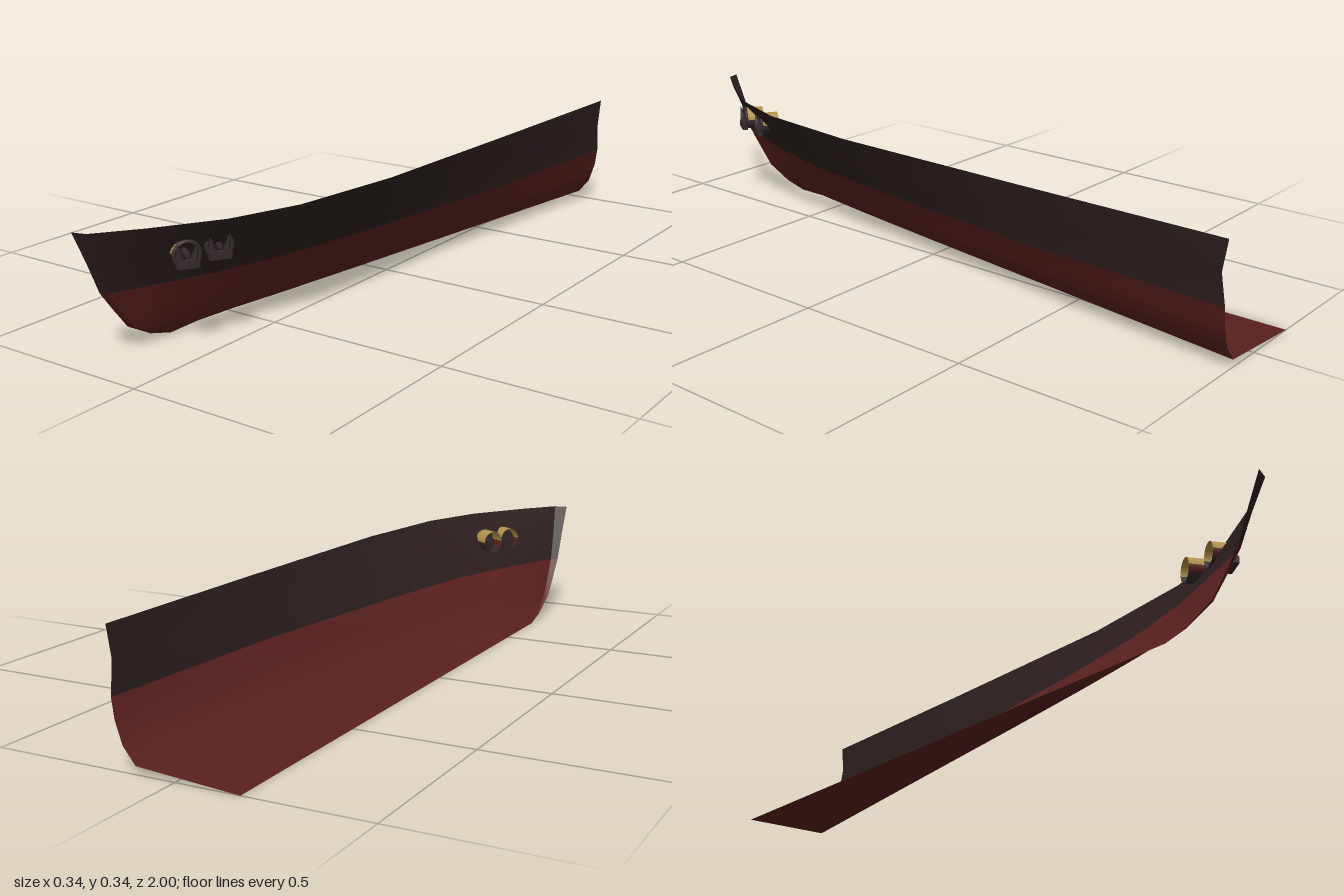
import * as THREE from 'three';

const mat = (name, color) => {
  const m = new THREE.MeshStandardMaterial({ color, side: THREE.DoubleSide });
  m.name = name;
  return m;
};

// Fore-and-aft stations, and hull levels: height, stem position, stern inset, breadths
const CENTRE = -0.17;
const stations = [-1, -0.4, 0.2, 0.53, 0.72, 0.88, 0.99, 1];
const keel = { y: 0, stem: 0.7, w: [0, 0, 0, 0, 0, 0, 0, 0] };
const chine = { y: 0.02, stem: 0.77, w: [0.275, 0.198, 0.122, 0.078, 0.05, 0.024, 0.006, 0] };
const bilge = { y: 0.062, stem: 0.845, w: [0.309, 0.243, 0.167, 0.117, 0.08, 0.04, 0.012, 0] };
const lower = { y: 0.12, stem: 0.89, w: [0.328, 0.274, 0.198, 0.145, 0.1, 0.048, 0.016, 0] };
const water = { y: 0.171, stem: 0.927, w: [0.335, 0.3, 0.228, 0.174, 0.123, 0.062, 0.02, 0] };
const flare = { y: 0.255, stem: 0.962, stern: 0.013, w: [0.338, 0.325, 0.282, 0.232, 0.165, 0.085, 0.027, 0] };
const sheer = { y: 0.338, stem: 1, w: [0.34, 0.334, 0.323, 0.285, 0.22, 0.12, 0.037, 0] };

// Skin between a list of levels over a range of stations
function skin(levels, from, to) {
  const pos = [], index = [], n = to - from + 1;
  levels.forEach((l, i) => {
    for (let j = from; j <= to; j++) {
      const z = -1 + (stations[j] + 1) * (l.stem + 1) / 2 + (j === 0 ? l.stern || 0 : 0);
      pos.push(CENTRE + l.w[j], l.y, z);
      if (i && j > from) {
        const d = i * n + j - from, c = d - 1, b = d - n, a = c - n;
        index.push(a, c, b, b, c, d);
      }
    }
  });
  const g = new THREE.BufferGeometry();
  g.setAttribute('position', new THREE.Float32BufferAttribute(pos, 3));
  g.setIndex(index);
  g.computeVertexNormals();
  return g;
}

export function createModel() {
  const root = new THREE.Group();
  root.name = 'halfHull';
  const red = mat('antifoulingRed', 0x5a2020);
  const black = mat('hullBlack', 0x2b1f1e);
  const brass = mat('pipeYellow', 0xb0924a);
  const iron = mat('anchorIron', 0x352a2b);

  const add = (parent, name, geo, material, p = [0, 0, 0], r = [0, 0, 0]) => {
    const m = new THREE.Mesh(geo, material);
    m.name = name;
    m.position.set(...p);
    m.rotation.set(...r);
    parent.add(m);
  };

  // Hull plating, with the narrow blunt stem kept as its own faces
  const last = stations.length - 1;
  const under = [chine, bilge, lower, water], upper = [water, flare, sheer];
  add(root, 'bottomPlate', skin([keel, chine], 0, last), red);
  add(root, 'lowerSide', skin(under, 0, last - 1), red);
  add(root, 'lowerStem', skin(under, last - 1, last), red);
  add(root, 'upperSide', skin(upper, 0, last - 1), black);
  add(root, 'upperStem', skin(upper, last - 1, last), black);

  // Two hawse pipes standing out from the side, each with an anchor at its mouth
  [[-0.035, 0.258, 0.78], [-0.015, 0.26, 0.69]].forEach((p, i) => {
    const g = new THREE.Group();
    g.name = 'anchorSet' + (i + 1);
    g.position.set(...p);
    g.rotation.y = 1.0;
    root.add(g);
    // Pipe in three arcs: yellow top, red lower front, iron underside
    const arc = (name, material, start, length) => add(g, name,
      new THREE.CylinderGeometry(0.033, 0.033, 0.055, 8, 1, true, start, length),
      material, [0, 0, -0.005], [Math.PI / 2, 0, 0]);
    arc('pipeTop', brass, Math.PI / 2, Math.PI);
    arc('pipeLowerFront', red, Math.PI * 1.5, 0.6);
    arc('pipeUnderside', iron, Math.PI * 1.5 + 0.6, Math.PI - 0.6);
    add(g, 'pipeMouth', new THREE.TorusGeometry(0.032, 0.005, 6, 16), iron, [0, 0, 0.022]);
    add(g, 'anchorShank', new THREE.CylinderGeometry(0.008, 0.008, 0.045, 8), iron, [0, 0, 0.005], [Math.PI / 2, 0, 0]);
    add(g, 'anchorCrown', new THREE.BoxGeometry(0.055, 0.02, 0.016), iron, [0, -0.022, 0.027]);
    for (const s of [-1, 1])
      add(g, 'anchorFluke', new THREE.ConeGeometry(0.014, 0.06, 4), iron, [s * 0.02, 0.004, 0.027], [0.15, 0, -s * 0.15]);
  });
  return root;
}
